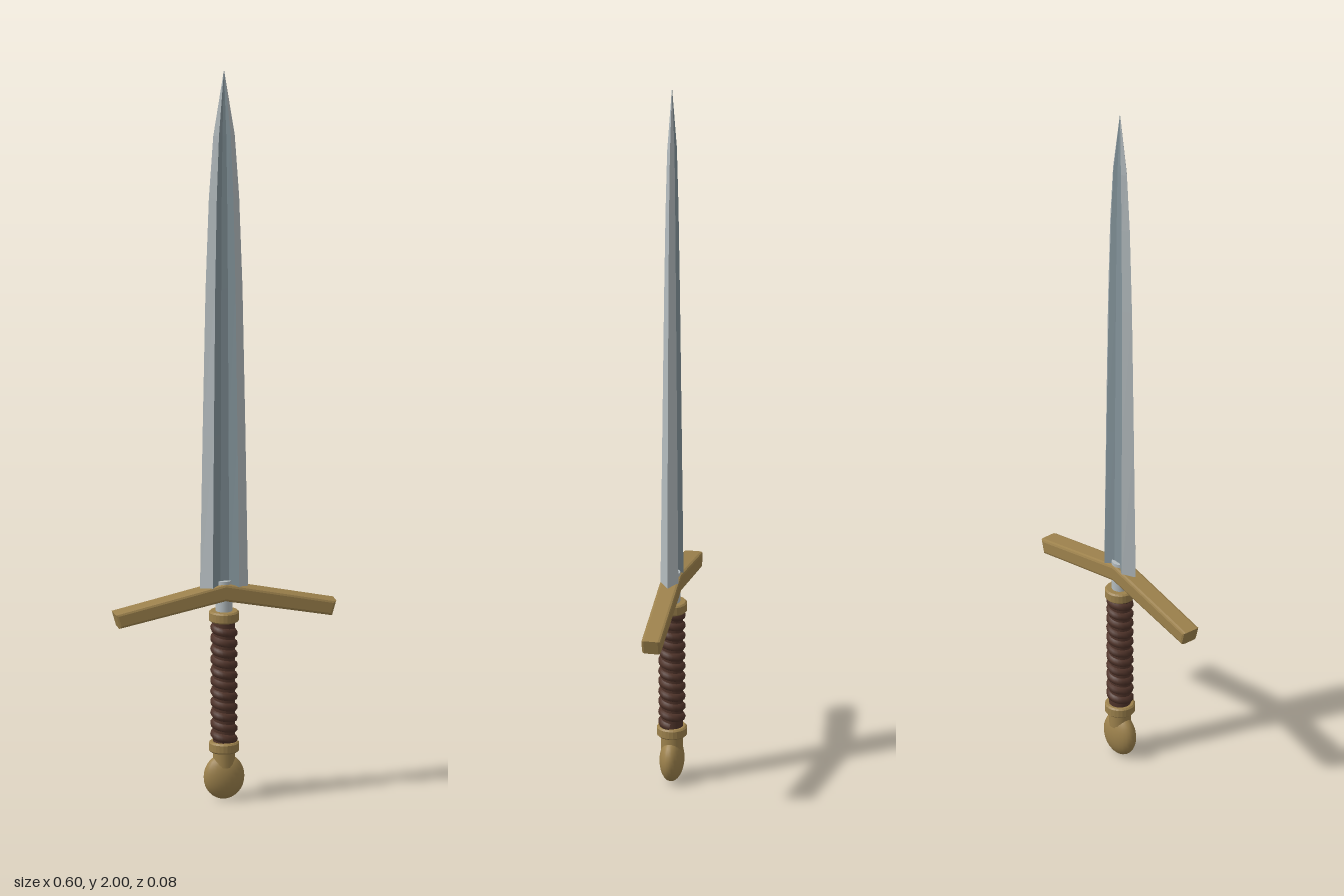
import * as THREE from 'three';

const mat = (color, extra = {}) => new THREE.MeshStandardMaterial({ color, ...extra });

// Blade stations: height, half width, half thickness at the ridges
const STATIONS = [
  [0.58, 0.065, 0.024], [1.0, 0.058, 0.020], [1.4, 0.050, 0.016],
  [1.65, 0.041, 0.013], [1.82, 0.029, 0.010], [2.0, 0, 0],
];

// Cross-section: edge, ridge, sunken fuller, ridge, edge and back again
function bladeRing([y, w, t]) {
  const half = [[1, 0], [0.55, 1], [0.18, 0.42], [-0.18, 0.42], [-0.55, 1]];
  const ring = [...half, ...half.map(([x, z]) => [-x, -z])];
  return ring.map(([x, z]) => new THREE.Vector3(x * w, y, z * t));
}

// Skin the chosen sides of the cross-section from station to station
function bladeStrip(sides, capped) {
  const rings = STATIONS.map(bladeRing);
  const pos = [];
  const tri = (...pts) => pts.forEach((p) => pos.push(p.x, p.y, p.z));
  for (let i = 0; i < rings.length - 1; i++) {
    for (const s of sides) {
      const n = (s + 1) % 10;
      const [a, b, c, d] = [rings[i][s], rings[i][n], rings[i + 1][n], rings[i + 1][s]];
      tri(a, d, b);
      if (i < rings.length - 2) tri(b, d, c);
    }
  }
  if (capped) {
    const base = new THREE.Vector3(0, STATIONS[0][0], 0);
    for (let s = 0; s < 10; s++) tri(base, rings[0][s], rings[0][(s + 1) % 10]);
  }
  const geo = new THREE.BufferGeometry();
  geo.setAttribute('position', new THREE.Float32BufferAttribute(pos, 3));
  geo.computeVertexNormals();
  return geo;
}

// Drooping crossguard with softened edges
function guardGeometry() {
  const b = 0.007;
  const shape = new THREE.Shape();
  const outline = [
    [0, 0.593 - b], [-0.298 + b, 0.531 - b], [-0.290 + b, 0.490 + b],
    [0, 0.546 + b], [0.290 - b, 0.490 + b], [0.298 - b, 0.531 - b],
  ];
  shape.setFromPoints(outline.map(([x, y]) => new THREE.Vector2(x, y)));
  const geo = new THREE.ExtrudeGeometry(shape, {
    depth: 0.038, bevelEnabled: true, bevelSize: b, bevelThickness: b, bevelSegments: 2,
  });
  return geo.translate(0, 0, -0.019);
}

// Turned ring with small chamfers
function collarGeometry(y0, y1, r) {
  const c = 0.004;
  const profile = [[0, y0], [r - c, y0], [r, y0 + c], [r, y1 - c], [r - c, y1], [0, y1]];
  return new THREE.LatheGeometry(profile.map(([x, y]) => new THREE.Vector2(x, y)), 24);
}

// Cord wound around the grip
class Helix extends THREE.Curve {
  getPoint(t, target = new THREE.Vector3()) {
    const a = t * 11 * Math.PI * 2;
    return target.set(0.024 * Math.cos(a), 0.163 + t * 0.32, 0.024 * Math.sin(a));
  }
}

export function createModel() {
  const group = new THREE.Group();
  const steel = mat(0xb4bcbf, { flatShading: true });
  const fullerSteel = mat(0x83939a, { flatShading: true });
  const brass = mat(0x9c814c);
  const brassFlat = mat(0x9c814c, { flatShading: true });
  const leather = mat(0x50342a);

  const add = (name, geo, material) => {
    const mesh = new THREE.Mesh(geo, material);
    mesh.name = name;
    group.add(mesh);
    return mesh;
  };
  const cylinder = (name, r, y0, y1, material) =>
    add(name, new THREE.CylinderGeometry(r, r, y1 - y0, 20), material).position.setY((y0 + y1) / 2);

  // Blade, with the hollow fuller in darker steel
  add('bladeEdges', bladeStrip([0, 4, 5, 9], true), steel);
  add('bladeFuller', bladeStrip([1, 2, 3, 6, 7, 8], false), fullerSteel);
  cylinder('tang', 0.022, 0.50, 0.60, mat(0xb4bcbf));

  // Hilt
  add('crossguard', guardGeometry(), brassFlat);
  add('upperCollar', collarGeometry(0.487, 0.516, 0.04), brassFlat);
  cylinder('gripCore', 0.029, 0.15, 0.49, leather);
  add('gripWrap', new THREE.TubeGeometry(new Helix(), 264, 0.0125, 8), leather);
  add('lowerCollar', collarGeometry(0.13, 0.158, 0.04), brassFlat);
  cylinder('pommelNeck', 0.029, 0.09, 0.135, brass);

  // Flattened pommel
  const pommel = add('pommel', new THREE.SphereGeometry(1, 24, 16), brass);
  pommel.scale.set(0.055, 0.061, 0.032);
  pommel.position.y = 0.061;

  return group;
}
